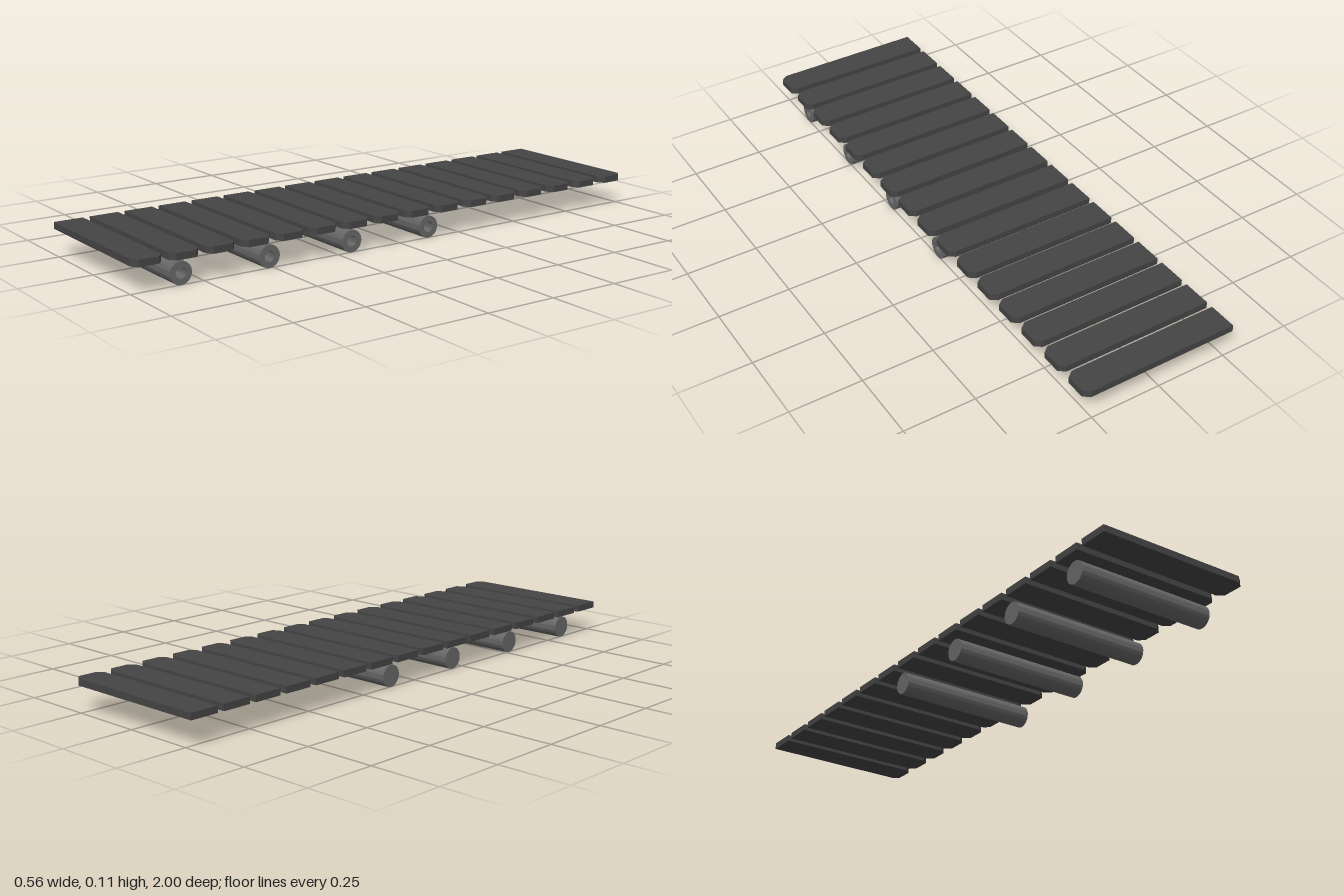
import * as THREE from 'three';
import { toCreasedNormals } from 'three/addons/utils/BufferGeometryUtils.js';

const PLANKS = 16, PLANK_WIDTH = 0.102, HALF_LENGTH = 0.278;
const ROLLER_RADIUS = 0.038, ROLLER_HALF = 0.2525;

// Board outline with both corners cut at the +x end, extruded upwards
function plankGeometry() {
  const w = PLANK_WIDTH / 2, l = HALF_LENGTH, cut = 0.022, inset = 0.017;
  const outline = new THREE.Shape([
    [-l, -w], [l - cut, -w], [l, -w + inset],
    [l, w - inset], [l - cut, w], [-l, w],
  ].map(([x, y]) => new THREE.Vector2(x, y)));
  return new THREE.ExtrudeGeometry(outline, { depth: 0.023, bevelEnabled: false })
    .rotateX(-Math.PI / 2);
}

// Round log along x with a blind bore in its +x end
function rollerGeometry() {
  const r = ROLLER_RADIUS, h = ROLLER_HALF, bore = 0.018, depth = 0.06;
  const profile = [
    [0, -h], [r, -h], [r, h], [bore, h], [bore, h - depth], [0, h - depth],
  ].map(([x, y]) => new THREE.Vector2(x, y));
  const lathe = new THREE.LatheGeometry(profile, 40).rotateZ(-Math.PI / 2);
  return toCreasedNormals(lathe, Math.PI / 5);
}

export function createModel() {
  const model = new THREE.Group();
  model.name = 'plankWalkway';
  const plankMaterial = new THREE.MeshStandardMaterial({ color: 0x444444 });
  const rollerMaterial = new THREE.MeshStandardMaterial({ color: 0x666666 });

  // Evenly spaced deck boards
  const planks = new THREE.Group();
  planks.name = 'planks';
  const plank = plankGeometry();
  const pitch = (2 - PLANK_WIDTH) / (PLANKS - 1);
  for (let i = 0; i < PLANKS; i++) {
    const mesh = new THREE.Mesh(plank, plankMaterial);
    mesh.name = `plank${i + 1}`;
    mesh.position.set(0, 0.088, -1 + PLANK_WIDTH / 2 + i * pitch);
    planks.add(mesh);
  }

  // Four logs below the front part of the deck
  const rollers = new THREE.Group();
  rollers.name = 'rollers';
  const roller = rollerGeometry();
  for (let i = 0; i < 4; i++) {
    const mesh = new THREE.Mesh(roller, rollerMaterial);
    mesh.name = `roller${i + 1}`;
    mesh.position.set(0, ROLLER_RADIUS, 0.83 - i * 0.316);
    rollers.add(mesh);
  }

  model.add(planks, rollers);
  return model;
}
